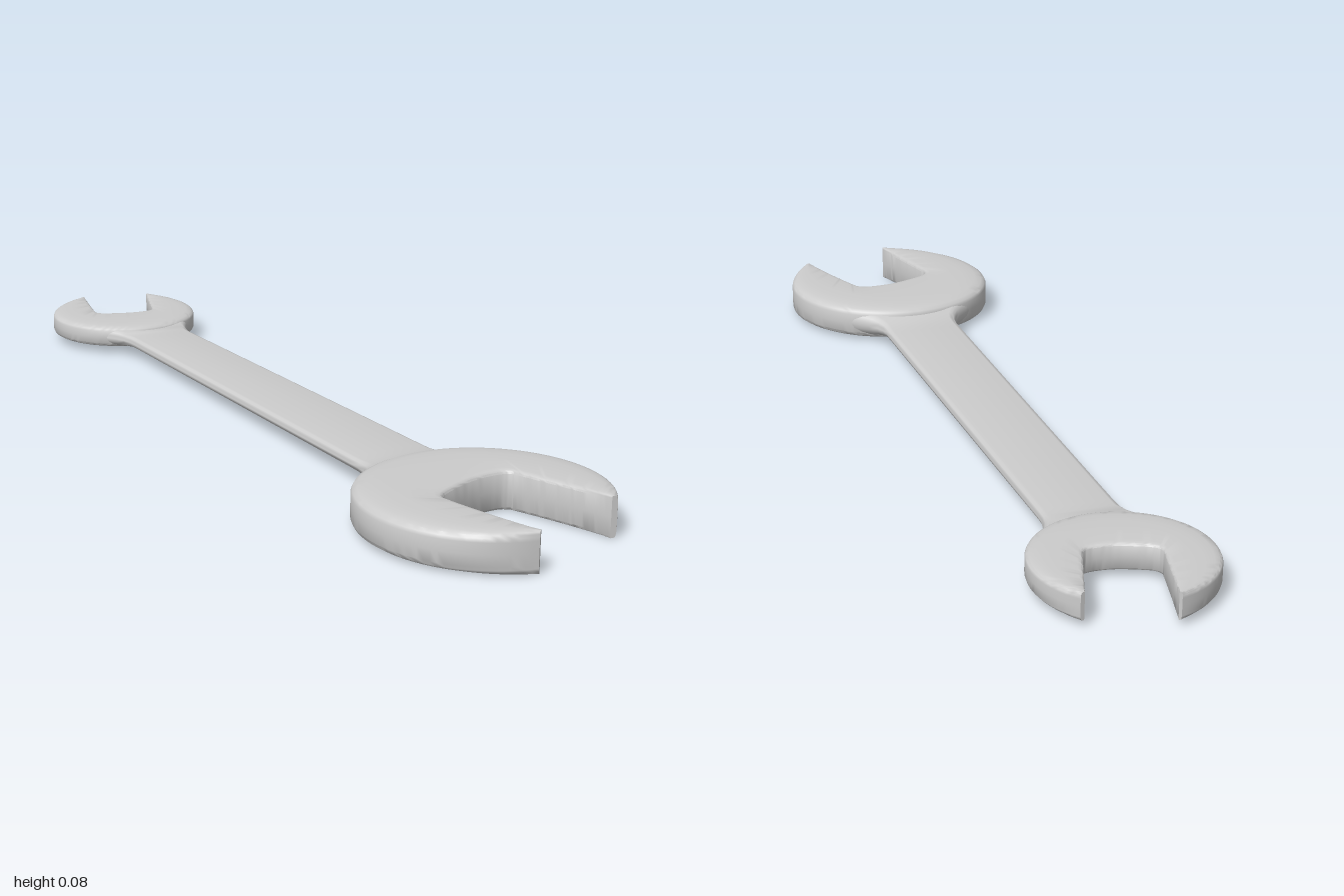
import * as THREE from 'three';
import { toCreasedNormals } from 'three/addons/utils/BufferGeometryUtils.js';

const MID_Y = 0.0415;
const material = new THREE.MeshStandardMaterial({ color: 0xcccccc });

// Closed rings of equal length skinned into a capped solid, facing outward
function loft(rings, name) {
  const n = rings[0].length, last = rings.length - 1;
  const points = rings.flat();
  const faces = [];
  for (let i = 0; i < last; i++) {
    for (let j = 0; j < n; j++) {
      const k = (j + 1) % n, a = i * n + j, b = i * n + k;
      faces.push([a, b, b + n], [a, b + n, a + n]);
    }
  }
  for (const i of [0, last]) {
    const centre = new THREE.Vector3();
    rings[i].forEach((p) => centre.addScaledVector(p, 1 / n));
    const c = points.push(centre) - 1;
    for (let j = 0; j < n; j++) {
      const a = i * n + j, b = i * n + ((j + 1) % n);
      faces.push(i === 0 ? [c, b, a] : [c, a, b]);
    }
  }
  // A negative enclosed volume means the faces point inward
  const cross = new THREE.Vector3();
  let volume = 0;
  for (const [a, b, c] of faces) volume += points[a].dot(cross.crossVectors(points[b], points[c]));
  if (volume < 0) faces.forEach((f) => f.reverse());

  const geometry = new THREE.BufferGeometry().setFromPoints(points);
  geometry.setIndex(faces.flat());
  const mesh = new THREE.Mesh(toCreasedNormals(geometry, 0.9), material);
  mesh.name = name;
  return mesh;
}

// Inner edge of the jaw for a head of radius 1, mouth towards +y
const leftTip = new THREE.Vector2(-0.19, 0.955);
const rightTip = new THREE.Vector2(0.68, 0.675);
const floorPoints = [
  [-0.403, 0.08], [-0.375, 0.01], [-0.27, -0.06], [-0.02, -0.16],
  [0.18, -0.195], [0.33, -0.185], [0.39, -0.14],
].map(([x, y]) => new THREE.Vector2(x, y));
const floorCurve = new THREE.SplineCurve(floorPoints);

function innerEdge(t) {
  if (t < 0.35) return leftTip.clone().lerp(floorPoints[0], t / 0.35);
  if (t > 0.65) return floorPoints.at(-1).clone().lerp(rightTip, (t - 0.65) / 0.35);
  return floorCurve.getPoint((t - 0.35) / 0.3);
}

// Half section of the jaw: fraction from outer to inner edge, relative height
const jawProfile = [
  [0, 0], [0, 0.55], [0.02, 0.72], [0.07, 0.84], [0.17, 0.93], [0.35, 0.98],
  [0.55, 1], [0.9, 1], [0.96, 0.97], [0.99, 0.91], [1, 0.82], [1, 0],
];
const jawSection = [
  ...jawProfile,
  ...jawProfile.slice(1, -1).reverse().map(([f, h]) => [f, -h]),
];

// Open-ended head: the section swept around from jaw tip to jaw tip
function createHead(name, radius, halfHeight, z, dir) {
  const rings = [], steps = 100;
  for (let i = 0; i <= steps; i++) {
    const t = i / steps;
    const angle = THREE.MathUtils.degToRad(12.4 + t * 301);
    const outer = new THREE.Vector2(-Math.sin(angle), Math.cos(angle));
    const inner = innerEdge(t);
    rings.push(jawSection.map(([f, h]) => {
      const p = outer.clone().lerp(inner, f).multiplyScalar(radius);
      return new THREE.Vector3(p.x, MID_Y + h * halfHeight, z + dir * p.y);
    }));
  }
  return loft(rings, name);
}

// Flat shank that widens and thickens into both heads: z, half width, half thickness
function createHandle() {
  const stations = [
    [0.62, 0.19, 0.032], [0.575, 0.165, 0.03], [0.55, 0.142, 0.028],
    [0.525, 0.117, 0.0245], [0.505, 0.102, 0.02], [0.485, 0.093, 0.0162],
    [0.46, 0.09, 0.0136], [0.43, 0.0895, 0.013], [-0.59, 0.081, 0.013],
    [-0.615, 0.082, 0.0134], [-0.64, 0.088, 0.0152], [-0.66, 0.097, 0.018],
    [-0.68, 0.11, 0.02], [-0.71, 0.126, 0.021], [-0.74, 0.135, 0.021],
  ];
  const rings = stations.map(([z, w, h]) => {
    const ring = [];
    for (const side of [1, -1]) {
      for (let i = 0; i <= 8; i++) {
        const a = -Math.PI / 2 + (i / 8) * Math.PI;
        ring.push(new THREE.Vector3(
          side * (w - h + h * Math.cos(a)), MID_Y + side * h * Math.sin(a), z));
      }
    }
    return ring;
  });
  return loft(rings, 'handle');
}

export function createModel() {
  const model = new THREE.Group();
  model.name = 'openEndWrench';
  model.add(
    createHandle(),
    createHead('largeHead', 0.248, 0.0415, 0.757, 1),
    createHead('smallHead', 0.18, 0.028, -0.825, -1),
  );
  return model;
}
